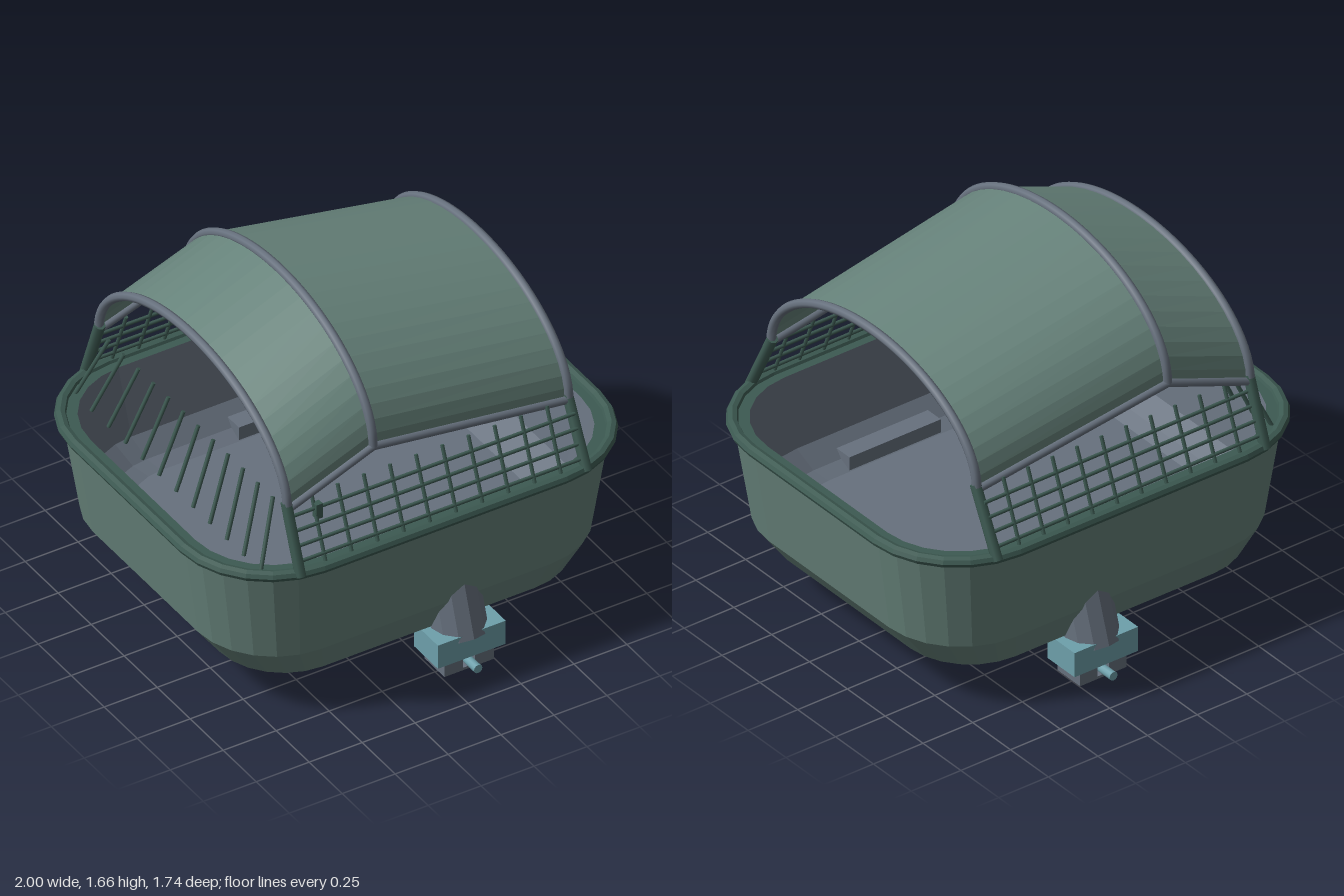
import * as THREE from 'three';

const material = (name, color, side = THREE.FrontSide) => {
  const m = new THREE.MeshStandardMaterial({ color, side });
  m.name = name;
  return m;
};

// Rounded rectangle loop in the xz plane
function roundedLoop(hx, hz, y, r, steps = 6) {
  const pts = [];
  [[1, 1], [-1, 1], [-1, -1], [1, -1]].forEach(([sx, sz], q) => {
    for (let i = 0; i <= steps; i++) {
      const a = (q + i / steps) * Math.PI / 2;
      pts.push(new THREE.Vector3(sx * (hx - r) + r * Math.cos(a), y, sz * (hz - r) + r * Math.sin(a)));
    }
  });
  return pts;
}

// Flat-shaded skin through a list of loops, with an optional cap on one end
function loft(rings, { closed = true, cap = '' } = {}) {
  const pos = [];
  const tri = (...v) => v.forEach(p => pos.push(p.x, p.y, p.z));
  const n = rings[0].length;
  for (let j = 0; j < rings.length - 1; j++) {
    for (let i = 0; i < (closed ? n : n - 1); i++) {
      const k = (i + 1) % n;
      const a = rings[j][i], b = rings[j][k], c = rings[j + 1][i], d = rings[j + 1][k];
      tri(a, c, b);
      tri(b, c, d);
    }
  }
  if (cap) {
    const ring = cap === 'down' ? rings[0] : rings[rings.length - 1];
    const mid = new THREE.Vector3(0, ring[0].y, 0);
    ring.forEach((p, i) => {
      const q = ring[(i + 1) % n];
      if (cap === 'down') tri(mid, p, q); else tri(mid, q, p);
    });
  }
  const g = new THREE.BufferGeometry();
  g.setAttribute('position', new THREE.Float32BufferAttribute(pos, 3));
  g.computeVertexNormals();
  return g;
}

export function createModel() {
  const model = new THREE.Group();
  model.name = 'canopyBasket';
  const green = material('sageGreen', 0x66827a, THREE.DoubleSide);
  const dark = material('darkGreen', 0x3d5a52);
  const grey = material('slateGrey', 0x67717e);
  const teal = material('paleTeal', 0x6ea0ab);

  const add = (name, geo, mat, x = 0, y = 0, z = 0, parent = model) => {
    const m = new THREE.Mesh(geo, mat);
    m.name = name;
    m.position.set(x, y, z);
    parent.add(m);
    return m;
  };
  const V = (x, y, z) => new THREE.Vector3(x, y, z);
  const rod = (name, a, b, r, mat, parent = model, sides = 6) => {
    const d = b.clone().sub(a);
    const m = add(name, new THREE.CylinderGeometry(r, r, d.length(), sides), mat, 0, 0, 0, parent);
    m.position.copy(a).add(b).multiplyScalar(0.5);
    m.quaternion.setFromUnitVectors(V(0, 1, 0), d.normalize());
    return m;
  };
  const group = name => {
    const g = new THREE.Group();
    g.name = name;
    model.add(g);
    return g;
  };

  // Tub: outer shell, lip, lining and rim
  add('tubShell', loft([
    roundedLoop(0.8, 0.705, 0.195, 0.3),
    roundedLoop(0.9, 0.757, 0.33, 0.36),
    roundedLoop(0.97, 0.81, 0.785, 0.4),
  ], { cap: 'down' }), green);
  add('tubLip', loft([
    roundedLoop(0.97, 0.81, 0.79, 0.4),
    roundedLoop(0.91, 0.755, 0.79, 0.36),
  ]), dark);
  add('tubLining', loft([
    roundedLoop(0.915, 0.76, 0.79, 0.36),
    roundedLoop(0.85, 0.7, 0.47, 0.32),
    roundedLoop(0.78, 0.63, 0.39, 0.28),
    roundedLoop(0.72, 0.57, 0.36, 0.25),
  ], { cap: 'up' }), grey);
  const rimRings = [];
  for (let i = 0; i <= 8; i++) {
    const a = i / 8 * Math.PI * 2, o = 0.026 * Math.cos(a);
    rimRings.push(roundedLoop(0.972 + o, 0.815 + o, 0.785 + 0.024 * Math.sin(a), 0.4 + o));
  }
  add('rim', loft(rimRings), dark);

  // Canopy: three hoops with panels stretched between them
  const hoops = [
    { x: -0.675, base: 1.05, top: 1.47, w: 0.715 },
    { x: -0.265, base: 1.2, top: 1.64, w: 0.705 },
    { x: 0.675, base: 1.05, top: 1.455, w: 0.68 },
  ].map(h => {
    const pts = [];
    for (let i = 0; i <= 24; i++) {
      const a = i / 24 * Math.PI;
      pts.push(V(h.x, h.base + (h.top - h.base) * Math.sin(a), h.w * Math.cos(a)));
    }
    return pts;
  });
  const canopy = group('canopy');
  hoops.forEach(pts => add('canopyHoop',
    new THREE.TubeGeometry(new THREE.CatmullRomCurve3(pts), 48, 0.02, 8), grey, 0, 0, 0, canopy));
  for (let i = 0; i < 2; i++) {
    add('canopyPanel', loft([hoops[i + 1], hoops[i]], { closed: false }), green, 0, 0, 0, canopy);
    for (const e of [0, 24]) rod('canopyEdge', hoops[i][e], hoops[i + 1][e], 0.018, grey, canopy, 8);
  }

  // Side guards: corner posts and slanted grids
  const guardZ = y => 0.81 - (y - 0.8) * 0.4;
  for (const s of [1, -1]) {
    const guard = group(s > 0 ? 'frontGuard' : 'backGuard');
    rod('post', V(-0.675, 0.78, s * 0.815), V(-0.675, 1.08, s * 0.705), 0.024, dark, guard, 8);
    rod('post', V(0.675, 0.78, s * 0.815), V(0.675, 1.07, s * 0.67), 0.024, dark, guard, 8);
    for (let i = 0; i < 10; i++) {
      const x = -0.553 + i * 0.1235;
      rod('uprightBar', V(x, 0.79, s * guardZ(0.79)), V(x, 1.075, s * guardZ(1.075)), 0.008, dark, guard);
    }
    for (let i = 0; i < 4; i++) {
      const y = 0.835 + i * 0.059;
      rod('crossBar', V(-0.675, y + 0.004, s * guardZ(y)), V(0.675, y - 0.004, s * guardZ(y)), 0.008, dark, guard);
    }
  }
  add('latch', new THREE.BoxGeometry(0.03, 0.07, 0.03), dark, -0.54, 1.005, guardZ(1.005));

  // Fan of bars closing the right end
  const endBars = group('endBars');
  for (let i = 0; i < 12; i++) {
    const k = i - 5.5;
    rod('endBar', V(-0.795, 0.78, k * 0.128), V(-0.685, 1.06, k * 0.113), 0.009, dark, endBars);
  }

  // Mounts: tilted strut, teal clamp, drilled foot block, pin and inner plate
  const block = new THREE.Shape([[-0.117, 0], [0.117, 0], [0.117, 0.075], [-0.117, 0.075]]
    .map(p => new THREE.Vector2(...p)));
  block.holes.push(new THREE.Path([[-0.028, 0.012], [-0.028, 0.062], [0.028, 0.062], [0.028, 0.012]]
    .map(p => new THREE.Vector2(...p))));
  const blockGeo = new THREE.ExtrudeGeometry(block, { depth: 0.15, bevelEnabled: false });
  const strutGeo = new THREE.CylinderGeometry(0.12, 0.12, 0.245, 12).toNonIndexed();
  strutGeo.computeVertexNormals();
  for (const s of [1, -1]) {
    const mount = group(s > 0 ? 'frontMount' : 'backMount');
    const strut = add('strut', strutGeo, grey, 0.13, 0.245, s * 0.687, mount);
    strut.rotation.x = -s * 0.314;
    add('clamp', new THREE.BoxGeometry(0.32, 0.115, 0.18), teal, 0.13, 0.128, s * 0.73, mount);
    add('footBlock', blockGeo, grey, 0.13, 0, s * 0.725 - 0.075, mount);
    rod('pin', V(0.13, 0.037, s * 0.7), V(0.13, 0.037, s * 0.868), 0.02, teal, mount, 12);
    add('innerPlate', new THREE.BoxGeometry(0.46, 0.07, 0.13), grey, 0.13, 0.39, s * 0.64, mount);
  }
  return model;
}
